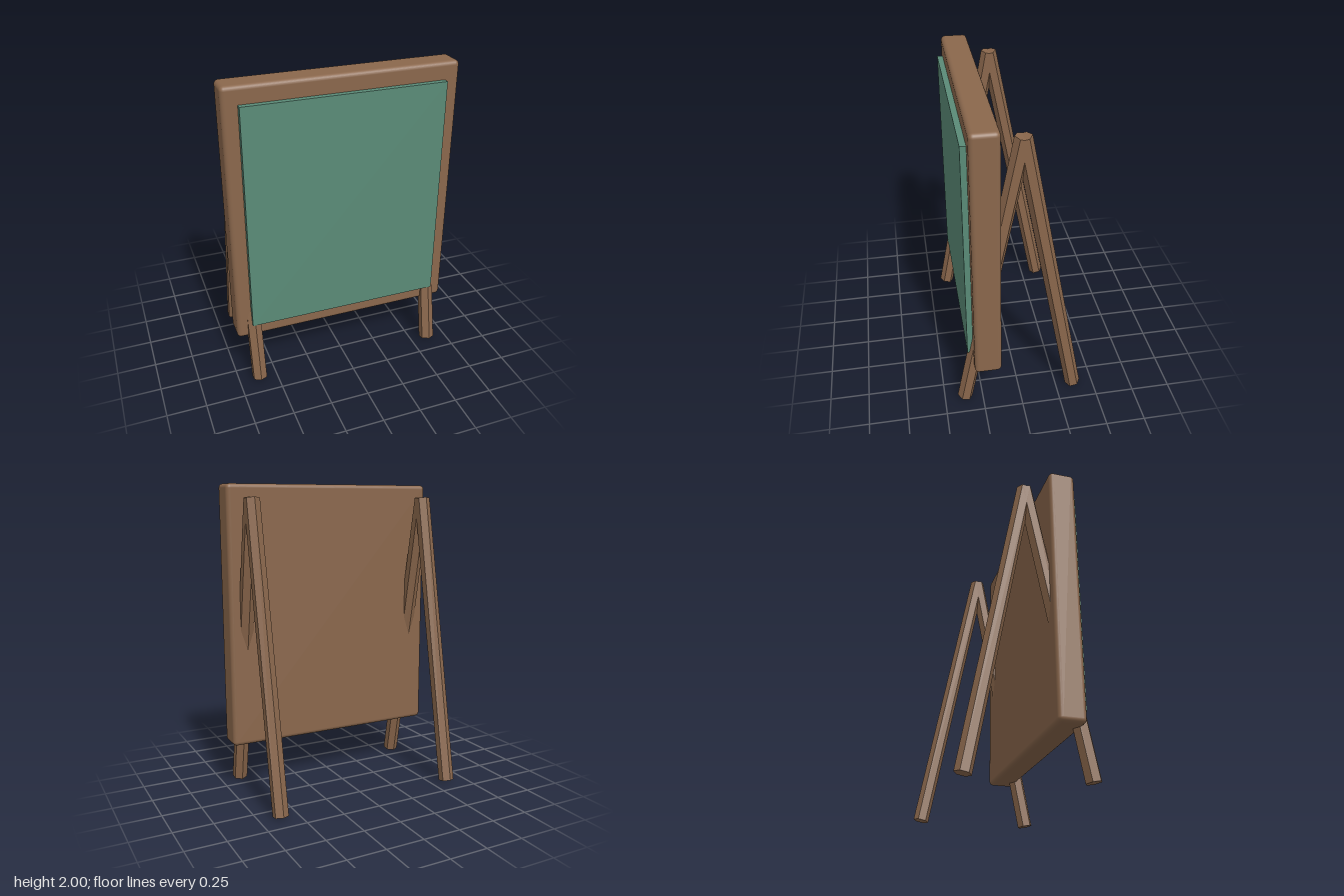
import * as THREE from 'three';
import { RoundedBoxGeometry } from 'three/addons/geometries/RoundedBoxGeometry.js';

export function createModel() {
  const group = new THREE.Group();
  const wood = new THREE.MeshStandardMaterial({ color: 0x8a674c });
  wood.name = 'brown wood';
  const green = new THREE.MeshStandardMaterial({ color: 0x5a8b77 });
  green.name = 'chalkboard green';

  function add(name, geometry, material, x, y, z) {
    const mesh = new THREE.Mesh(geometry, material);
    mesh.name = name;
    mesh.position.set(x, y, z);
    group.add(mesh);
    return mesh;
  }

  // Rounded wooden panel with the writing surface standing proud of it
  add('panel', new RoundedBoxGeometry(1.456, 1.69, 0.17, 3, 0.027), wood, 0, 1.155, 0.22);
  add('writingSurface', new THREE.BoxGeometry(1.268, 1.476, 0.08), green, 0, 1.152, 0.301);

  // Hexagonal legs: a front and back pair on each side, meeting at the top
  const spread = 0.366, rise = 1.9;
  const legGeometry = new THREE.CylinderGeometry(0.05, 0.05, Math.hypot(spread, rise), 6).toNonIndexed();
  legGeometry.computeVertexNormals();
  for (const [side, sx] of [['left', 1], ['right', -1]]) {
    for (const [end, sz] of [['Front', 1], ['Back', -1]]) {
      const leg = add(`${side}${end}Leg`, legGeometry, wood, sx * 0.616, 0.0095 + rise / 2, sz * spread / 2);
      leg.rotation.x = -sz * Math.atan2(spread, rise);
    }
  }
  return group;
}
